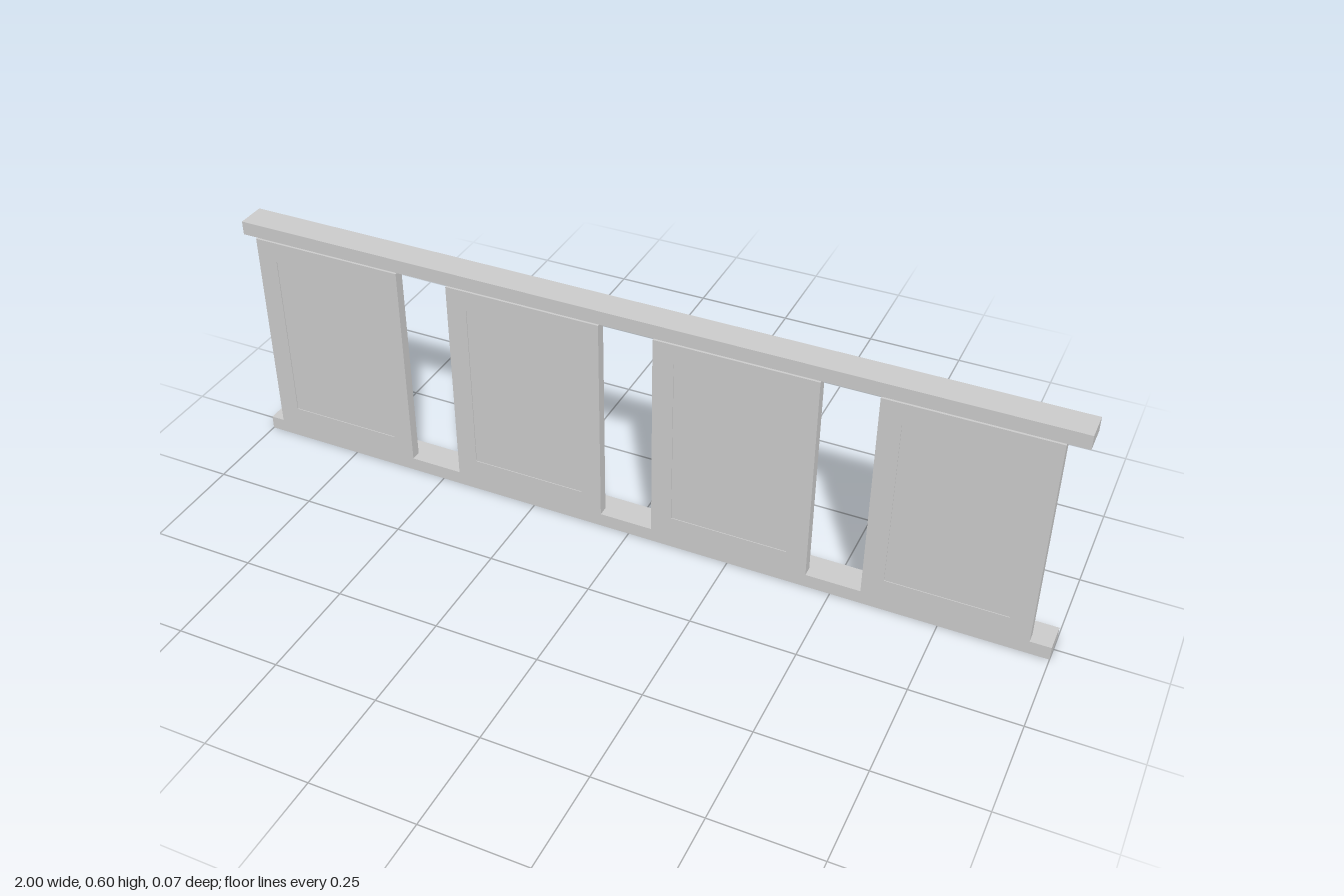
import * as THREE from 'three';

export function createModel() {
  const model = new THREE.Group();
  model.name = 'panelledRailing';
  const material = new THREE.MeshStandardMaterial({ color: 0xcccccc, flatShading: true });

  const add = (parent, name, geometry, x, y, z) => {
    const mesh = new THREE.Mesh(geometry, material);
    mesh.name = name;
    mesh.position.set(x, y, z);
    parent.add(mesh);
  };

  // Long rails along the bottom and top
  const railHeight = 0.034;
  const rail = new THREE.BoxGeometry(2, railHeight, 0.07);
  add(model, 'bottomRail', rail, 0, railHeight / 2, 0);
  add(model, 'topRail', rail, 0, 0.599 - railHeight / 2, 0);

  // Rectangular frame with an opening for the inset board
  const width = 0.382, bottom = 0.034, top = 0.561, border = 0.05;
  const height = top - bottom;
  const rectangle = (Type, w, h) => new Type([
    new THREE.Vector2(-w / 2, -h / 2), new THREE.Vector2(w / 2, -h / 2),
    new THREE.Vector2(w / 2, h / 2), new THREE.Vector2(-w / 2, h / 2),
  ]);
  const innerWidth = width - 2 * border, innerHeight = height - 2 * border;
  const outline = rectangle(THREE.Shape, width, height);
  outline.holes.push(rectangle(THREE.Path, innerWidth, innerHeight));
  const frame = new THREE.ExtrudeGeometry(outline, { depth: 0.025, bevelEnabled: false });
  const board = new THREE.BoxGeometry(innerWidth, innerHeight, 0.013);

  // Four panels: deep recess at the back, almost flush at the front
  for (let i = 0; i < 4; i++) {
    const panel = new THREE.Group();
    panel.name = `panel${i + 1}`;
    panel.position.set(-0.775 + i * 0.512, (bottom + top) / 2, 0.01);
    add(panel, 'panelFrame', frame, 0, 0, 0);
    add(panel, 'insetBoard', board, 0, 0, 0.0165);
    model.add(panel);
  }
  return model;
}
